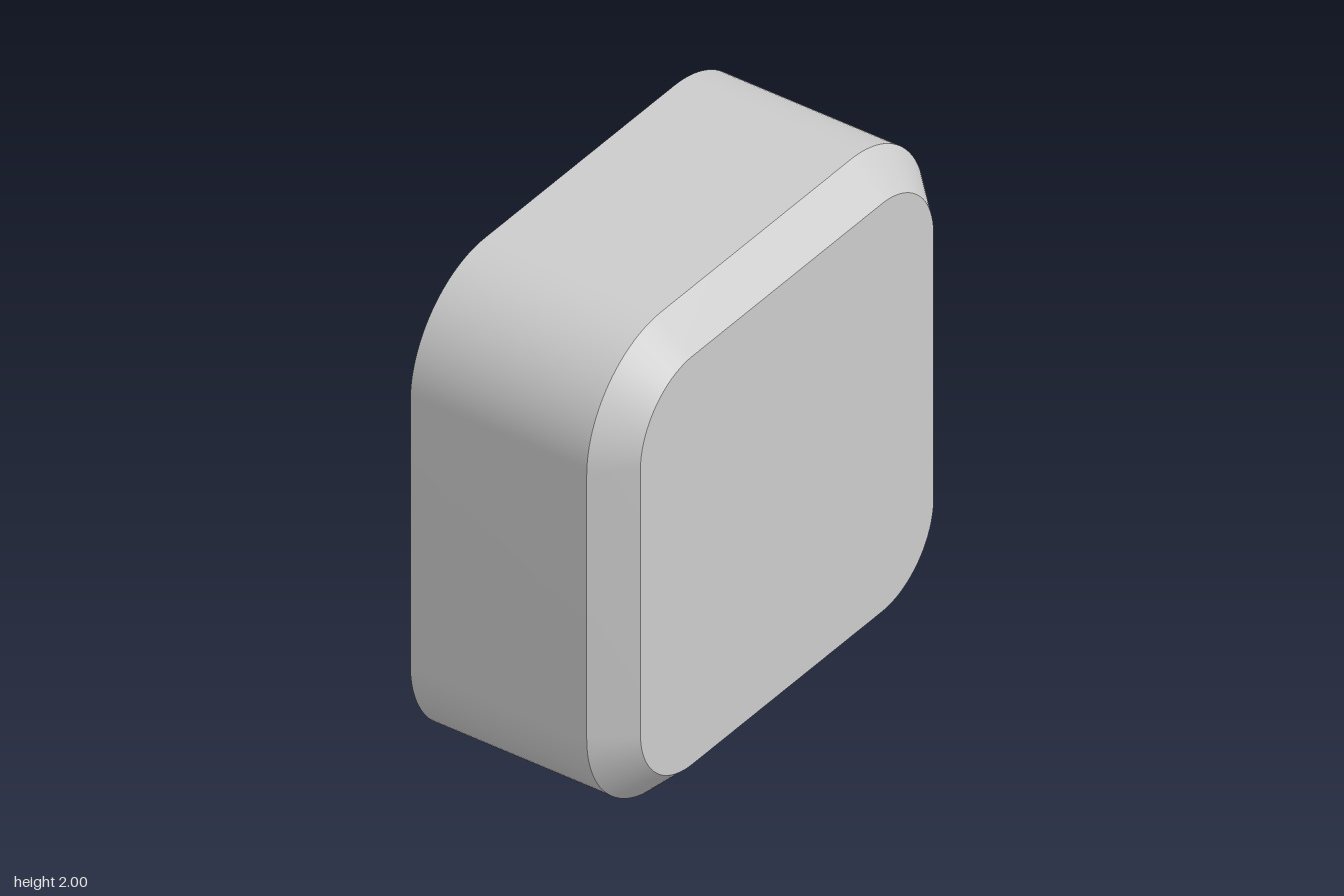
import * as THREE from 'three';
import { toCreasedNormals } from 'three/addons/utils/BufferGeometryUtils.js';

const CORNER = 0.56; // distance of each corner arc's centre from the axis
const STEPS = 24;    // segments per corner arc

// Rounded square at depth z, counter-clockwise from the front
function ring(radius, z) {
  const points = [];
  for (let q = 0; q < 4; q++) {
    const mid = (q + 0.5) * Math.PI / 2;
    const cx = CORNER * Math.sign(Math.cos(mid));
    const cy = CORNER * Math.sign(Math.sin(mid));
    for (let i = 0; i <= STEPS; i++) {
      const a = (q + i / STEPS) * Math.PI / 2;
      points.push(new THREE.Vector3(cx + radius * Math.cos(a), cy + radius * Math.sin(a), z));
    }
  }
  return points;
}

// Skin the rings from back to front and close both ends with flat caps
function loft(rings) {
  const pos = [];
  const tri = (...corners) => corners.forEach((p) => pos.push(p.x, p.y, p.z));
  const n = rings[0].length;
  const back = rings[0];
  const front = rings[rings.length - 1];
  const backCentre = new THREE.Vector3(0, 0, back[0].z);
  const frontCentre = new THREE.Vector3(0, 0, front[0].z);
  for (let j = 0; j < n; j++) {
    const k = (j + 1) % n;
    tri(backCentre, back[k], back[j]);
    tri(frontCentre, front[j], front[k]);
    for (let i = 0; i < rings.length - 1; i++) {
      const lo = rings[i], hi = rings[i + 1];
      tri(lo[j], lo[k], hi[k]);
      tri(lo[j], hi[k], hi[j]);
    }
  }
  const geometry = new THREE.BufferGeometry();
  geometry.setAttribute('position', new THREE.Float32BufferAttribute(pos, 3));
  return toCreasedNormals(geometry, Math.PI / 6);
}

export function createModel() {
  const model = new THREE.Group();
  model.name = 'chamferedBlock';

  // Rounded square block with a bevelled front edge
  const body = new THREE.Mesh(
    loft([ring(0.44, -0.443), ring(0.44, 0.31), ring(0.307, 0.443)]),
    new THREE.MeshStandardMaterial({ color: 0xcccccc })
  );
  body.name = 'body';
  body.position.y = 1;
  model.add(body);
  return model;
}
